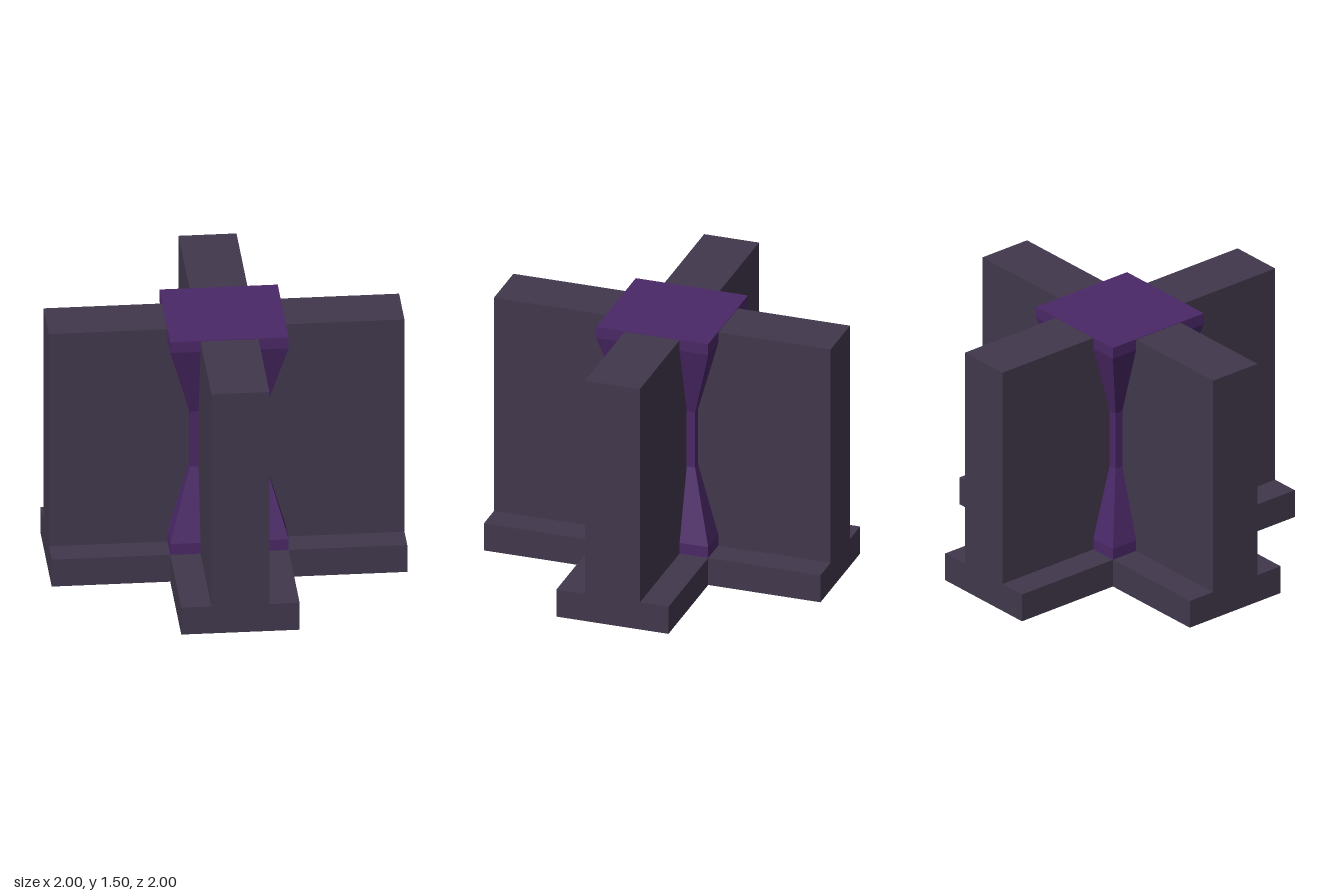
import * as THREE from 'three';

const stone = new THREE.MeshStandardMaterial({ color: 0x41384c, flatShading: true });
const purple = new THREE.MeshStandardMaterial({ color: 0x4a2866, flatShading: true });

// Plus-shaped slab with arms of half-width w and half-length 1, standing from y0 to y1
function cross(name, w, y0, y1) {
  const quarter = [[1, -w], [1, w], [w, w]];
  const points = [];
  for (let i = 0; i < 4; i++) {
    const c = Math.round(Math.cos(i * Math.PI / 2));
    const s = Math.round(Math.sin(i * Math.PI / 2));
    for (const [x, y] of quarter) points.push(new THREE.Vector2(c * x - s * y, s * x + c * y));
  }
  const geometry = new THREE.ExtrudeGeometry(new THREE.Shape(points), { depth: y1 - y0, bevelEnabled: false });
  geometry.rotateX(-Math.PI / 2);
  geometry.translate(0, y0, 0);
  const mesh = new THREE.Mesh(geometry, stone);
  mesh.name = name;
  return mesh;
}

export function createModel() {
  const model = new THREE.Group();
  model.name = 'crossWall';

  // Low wide plinth and the thinner walls standing on it
  model.add(cross('base', 0.333, 0, 0.168));
  model.add(cross('walls', 0.163, 0.168, 1.495));

  // Square central pillar with a narrowed waist: [half-width, height]
  const profile = [
    [0, 0.168], [0.333, 0.168], [0.333, 0.235], [0.213, 0.655],
    [0.213, 1.0], [0.333, 1.43], [0.333, 1.498], [0, 1.498],
  ].map(([h, y]) => new THREE.Vector2(h * Math.SQRT2, y));
  const pillar = new THREE.Mesh(new THREE.LatheGeometry(profile, 4, Math.PI / 4), purple);
  pillar.name = 'pillar';
  model.add(pillar);

  return model;
}
